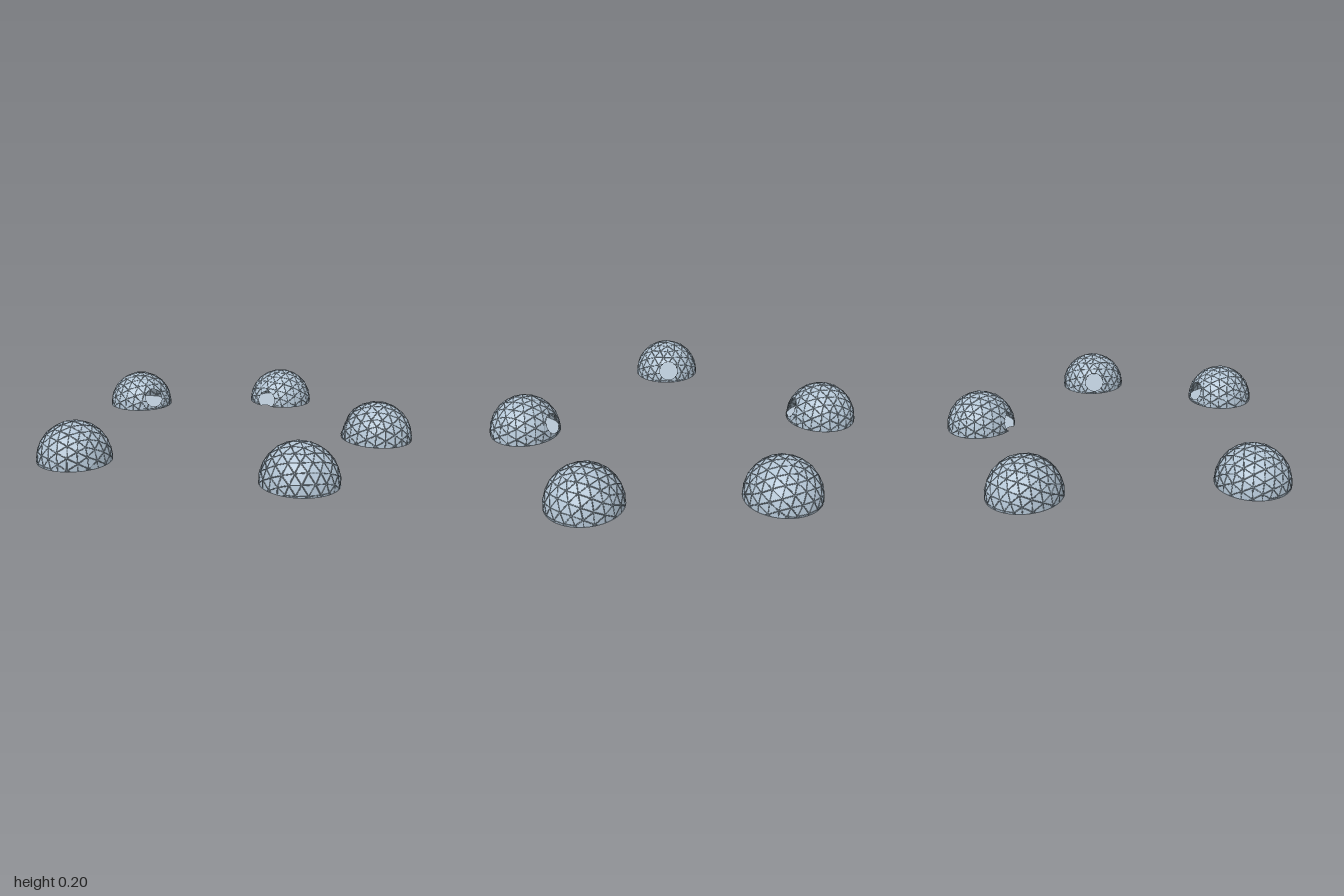
import * as THREE from 'three';
import { mergeGeometries } from 'three/addons/utils/BufferGeometryUtils.js';

const RADIUS = 0.187;      // geodesic sphere
const LIFT = 0.009;        // sphere centre above the ground
const STRUT = 0.0034;      // strut radius
const INSET = 0.994;       // struts sit slightly sunk into the panels
const DOOR_ANGLE = 0.3;    // angular radius of the round doorway
const STEPS = 4;           // pieces per panel side, so cut edges stay smooth

// Centre of each dome and the direction its doorway faces in plan
const DOMES = [
  { name: 'backDome', x: -0.06, z: -0.811, door: [0.01, 0.165] },
  { name: 'backLeftDome', x: 0.75, z: -0.455, door: [-0.165, 0.085], low: true },
  { name: 'frontLeftDome', x: 0.77, z: 0.45, door: [-0.125, -0.11] },
  { name: 'frontDome', x: 0.02, z: 0.808, door: [0.06, -0.145] },
  { name: 'rightDome', x: -0.775, z: 0.015, door: [0.165, -0.005] },
];

// Geodesic triangles and their unique edges, around the sphere centre
function geodesic() {
  const pos = new THREE.IcosahedronGeometry(RADIUS, 3).getAttribute('position');
  const key = (v) => v.toArray().map((n) => Math.round(n * 1e4) + 0).join();
  const triangles = [];
  const edges = new Map();
  for (let i = 0; i < pos.count; i += 3) {
    const tri = [0, 1, 2].map((k) => new THREE.Vector3().fromBufferAttribute(pos, i + k));
    triangles.push(tri);
    tri.forEach((a, k) => {
      const b = tri[(k + 1) % 3];
      edges.set([key(a), key(b)].sort().join('|'), [a, b]);
    });
  }
  return { triangles, edges: [...edges.values()] };
}

// Points inside the doorway are pushed out to its rim
function pushToRim(p, axis) {
  if (p.angleTo(axis) >= DOOR_ANGLE) return p.clone();
  const side = p.clone().addScaledVector(axis, -p.dot(axis));
  if (side.length() < 1e-6) side.set(0, 0, 1);
  side.normalize();
  return axis.clone().multiplyScalar(Math.cos(DOOR_ANGLE))
    .addScaledVector(side, Math.sin(DOOR_ANGLE)).multiplyScalar(p.length());
}

// Cuts a piece at the doorway and the ground; null if it is removed entirely
function trim(points, axis, ground) {
  if (points.every((p) => p.angleTo(axis) < DOOR_ANGLE)) return null;
  if (points.every((p) => p.y + LIFT <= ground)) return null;
  return points.map((p) => {
    const q = pushToRim(p, axis);
    q.y = Math.max(q.y + LIFT, ground);
    return q;
  });
}

// Flat triangular panels
function panelGeometry(triangles, axis) {
  const out = [];
  const add = (...pts) => {
    const cut = trim(pts, axis, 0);
    if (cut) cut.forEach((p) => out.push(p.x, p.y, p.z));
  };
  for (const [a, b, c] of triangles) {
    const at = (i, j) => a.clone()
      .addScaledVector(b.clone().sub(a), i / STEPS)
      .addScaledVector(c.clone().sub(a), j / STEPS);
    for (let i = 0; i < STEPS; i++) {
      for (let j = 0; j < STEPS - i; j++) {
        add(at(i, j), at(i + 1, j), at(i, j + 1));
        if (i + j < STEPS - 1) add(at(i + 1, j), at(i + 1, j + 1), at(i, j + 1));
      }
    }
  }
  const geometry = new THREE.BufferGeometry();
  geometry.setAttribute('position', new THREE.Float32BufferAttribute(out, 3));
  geometry.computeVertexNormals();
  return geometry;
}

// Thin bars along every edge
function strutGeometry(edges, axis) {
  const up = new THREE.Vector3(0, 1, 0);
  const bars = [];
  for (const [a, b] of edges) {
    for (let i = 0; i < STEPS; i++) {
      const ends = [i, i + 1].map((k) => a.clone().lerp(b, k / STEPS).multiplyScalar(INSET));
      const cut = trim(ends, axis, STRUT);
      if (!cut) continue;
      const dir = cut[1].clone().sub(cut[0]);
      const length = dir.length();
      if (length < 1e-4) continue;
      const bar = new THREE.CylinderGeometry(STRUT, STRUT, length, 4, 1, true);
      bar.applyQuaternion(new THREE.Quaternion().setFromUnitVectors(up, dir.normalize()));
      const mid = cut[0].clone().add(cut[1]).multiplyScalar(0.5);
      bars.push(bar.translate(mid.x, mid.y, mid.z));
    }
  }
  return mergeGeometries(bars);
}

// Round floor, notched where a low doorway reaches the ground
function floorGeometry(low) {
  const r = RADIUS + 0.001;
  const shape = new THREE.Shape();
  if (low) {
    shape.absarc(0, 0, r, 0.16, Math.PI * 2 - 0.16, false);
    shape.absarc(r, 0, 0.03, -Math.PI / 2, -Math.PI * 1.5, true);
  } else {
    shape.absarc(0, 0, r, 0, Math.PI * 2, false);
  }
  return new THREE.ShapeGeometry(shape, 48).rotateX(-Math.PI / 2);
}

export function createModel() {
  const material = (name, color, side = THREE.FrontSide) => {
    const m = new THREE.MeshStandardMaterial({ color, side });
    m.name = name;
    return m;
  };
  const panelMaterial = material('paleBluePanel', 0xb4c6d6);
  const strutMaterial = material('slateStrut', 0x82909b);
  const liningMaterial = material('slateLining', 0x82909b, THREE.BackSide);
  const floorMaterial = material('greyBlueFloor', 0xb6c5d3, THREE.DoubleSide);

  const model = new THREE.Group();
  model.name = 'domeCamp';
  const { triangles, edges } = geodesic();

  for (const { name, x, z, door, low } of DOMES) {
    const dome = new THREE.Group();
    dome.name = name;
    // The doorway faces local +x, then the dome is turned
    const rise = low ? 0.16 : 0.35;
    const axis = new THREE.Vector3(Math.cos(rise), Math.sin(rise), 0);
    const part = (partName, geometry, mat) => {
      const mesh = new THREE.Mesh(geometry, mat);
      mesh.name = partName;
      dome.add(mesh);
    };
    const shell = panelGeometry(triangles, axis);
    part('panels', shell, panelMaterial);
    part('lining', shell, liningMaterial);
    part('struts', strutGeometry(edges, axis), strutMaterial);
    part('floor', floorGeometry(low), floorMaterial);
    dome.position.set(x, 0, z);
    dome.rotation.y = Math.atan2(-door[1], door[0]);
    model.add(dome);
  }
  return model;
}
